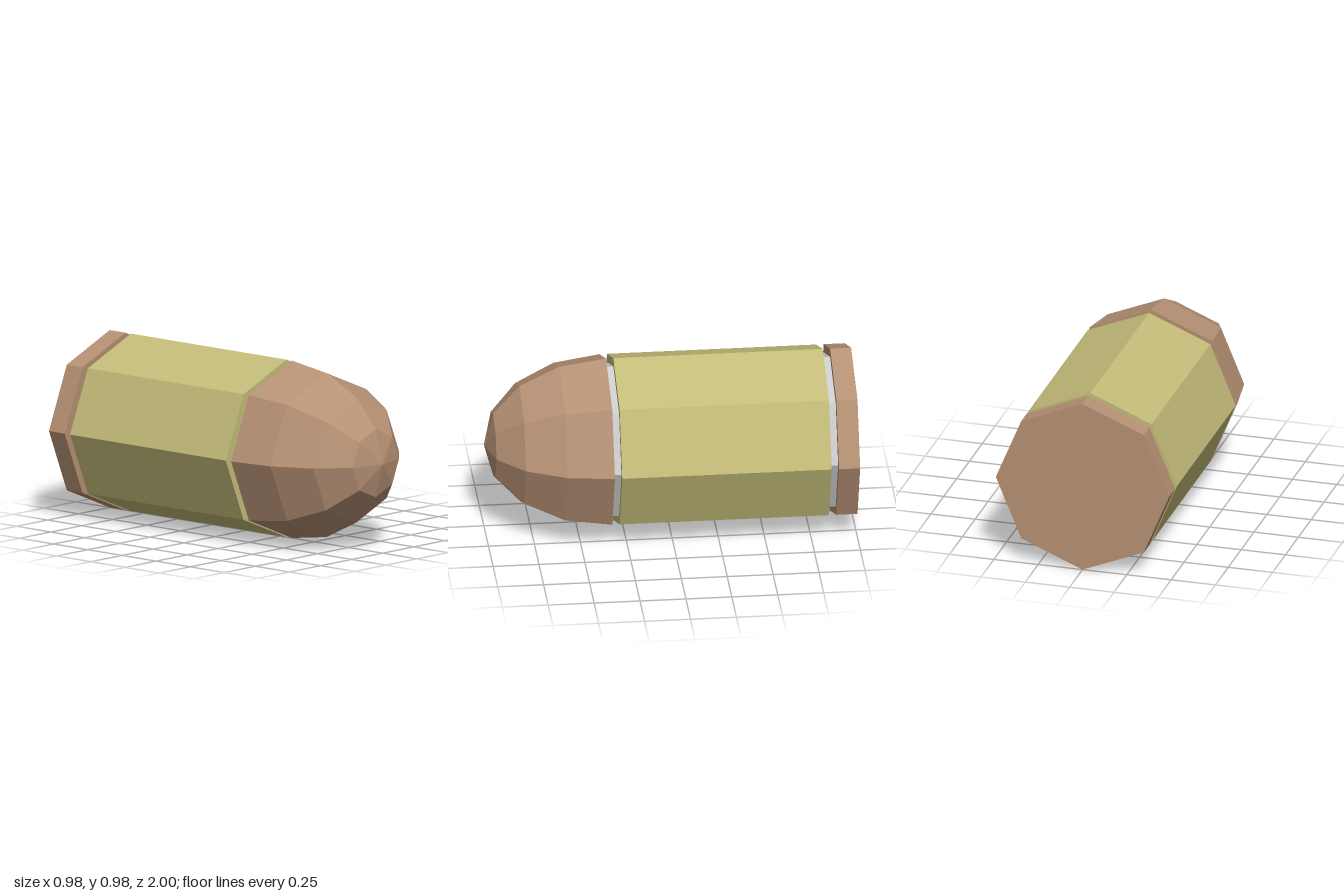
import * as THREE from 'three';
import { mergeGeometries } from 'three/addons/utils/BufferGeometryUtils.js';

const SIDES = 8;
const RADIUS = 0.489;
const CORE_RADIUS = 0.44;

export function createModel() {
  const model = new THREE.Group();
  model.name = 'shell';

  const material = (color) => new THREE.MeshStandardMaterial({ color, flatShading: true });
  const copper = material(0xb69174);
  const olive = material(0xc4bc79);
  const grey = material(0xcccccc);

  const add = (name, geometry, mat) => {
    const mesh = new THREE.Mesh(geometry, mat);
    mesh.name = name;
    mesh.position.y = RADIUS;
    model.add(mesh);
  };

  // Octagonal prism lying along z, with corners on the x and y axes
  const prism = (radius, back, front) =>
    new THREE.CylinderGeometry(radius, radius, front - back, SIDES)
      .rotateX(Math.PI / 2)
      .translate(0, 0, (back + front) / 2);

  // Rear cap, casing and the inner core that shows in the two grooves
  add('rearCap', prism(RADIUS, -1, -0.885), copper);
  add('casing', prism(RADIUS, -0.845, 0.295), olive);
  add('innerCore', prism(CORE_RADIUS, -0.95, 0.4), grey);

  // Faceted nose: a stretched half sphere closed by a flat base
  const noseBase = 0.335;
  const dome = new THREE.SphereGeometry(1, SIDES, 4, 0, Math.PI * 2, 0, Math.PI / 2)
    .rotateX(Math.PI / 2);
  const base = new THREE.CircleGeometry(1, SIDES).rotateY(Math.PI);
  const nose = mergeGeometries([dome, base])
    .scale(RADIUS, RADIUS, 1 - noseBase)
    .translate(0, 0, noseBase);
  add('nose', nose, copper);

  return model;
}
